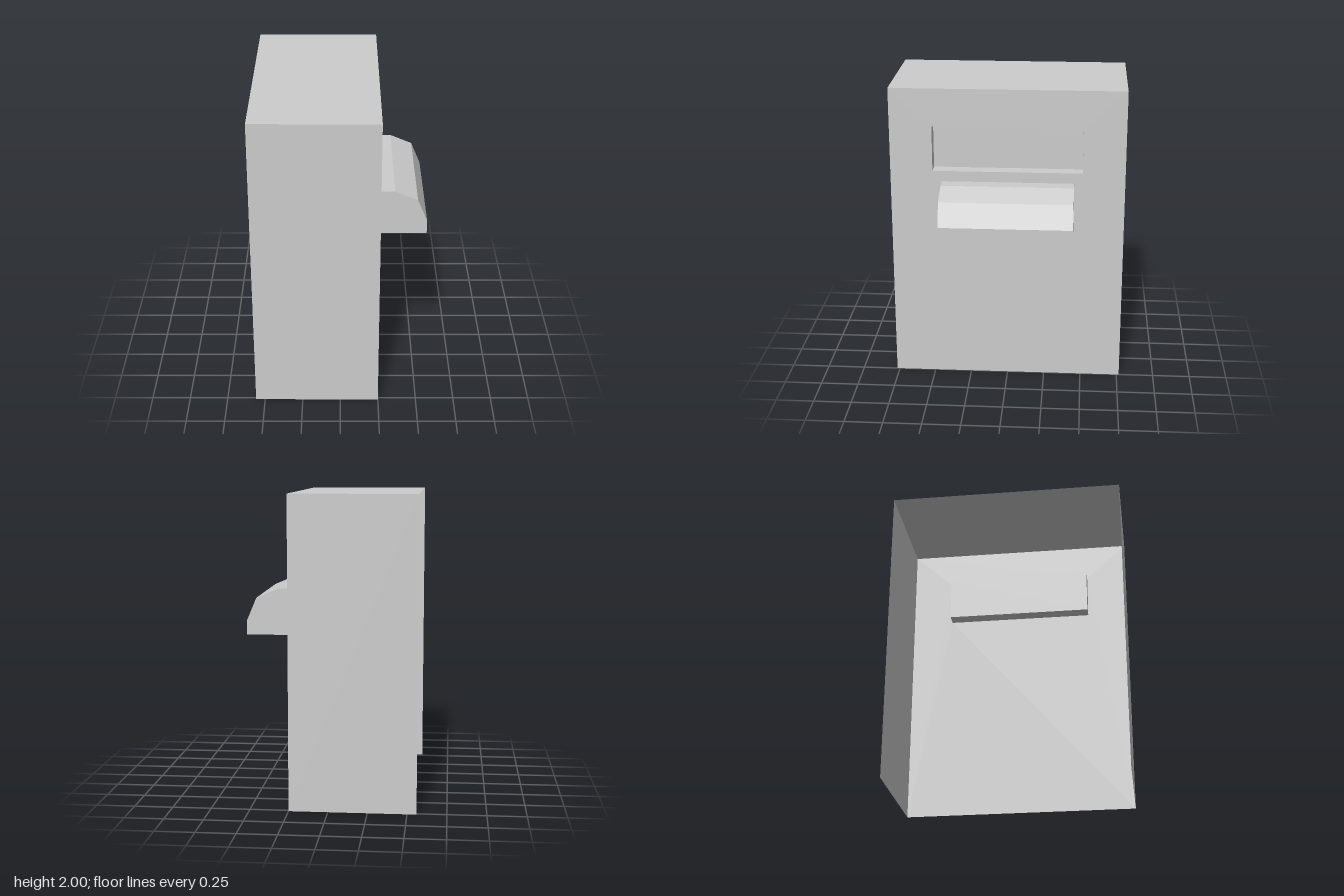
import * as THREE from 'three';

export function createModel() {
  const model = new THREE.Group();
  const grey = new THREE.MeshStandardMaterial({ color: 0xcccccc, side: THREE.DoubleSide });
  grey.name = 'grey';

  const BACK = -0.56, FRONT = 0.25, HEIGHT = 2, HALF = 0.767;
  const DEPTH = FRONT - BACK, MID = (FRONT + BACK) / 2;

  function add(name, geometry, parent = model) {
    const mesh = new THREE.Mesh(geometry, grey);
    mesh.name = name;
    parent.add(mesh);
    return mesh;
  }

  // Rectangular sheet, turned and then placed
  function sheet(name, w, h, [rx, ry], [x, y, z], parent) {
    const mesh = add(name, new THREE.PlaneGeometry(w, h), parent);
    mesh.rotation.set(rx, ry, 0);
    mesh.position.set(x, y, z);
    return mesh;
  }

  // Cabinet shell, open underneath and on the -x side
  sheet('top', DEPTH, HALF * 2, [-Math.PI / 2, 0], [MID, HEIGHT, 0]);
  sheet('leftPanel', DEPTH, HEIGHT, [0, 0], [MID, HEIGHT / 2, HALF]);
  sheet('rightPanel', DEPTH, HEIGHT, [0, Math.PI], [MID, HEIGHT / 2, -HALF]);

  // Face panel with the slot opening
  const slotHalf = 0.49, slotLow = 1.45, slotHigh = 1.75, slotDepth = 0.09;
  const rect = (C, x0, y0, x1, y1) => new C([[x0, y0], [x1, y0], [x1, y1], [x0, y1]]
    .map(([x, y]) => new THREE.Vector2(x, y)));
  const face = rect(THREE.Shape, -HALF, 0, HALF, HEIGHT);
  face.holes.push(rect(THREE.Path, -slotHalf, slotLow, slotHalf, slotHigh));
  const facePanel = add('facePanel', new THREE.ShapeGeometry(face));
  facePanel.rotation.y = Math.PI / 2;
  facePanel.position.x = FRONT;

  // Shallow recess behind the opening
  const recess = new THREE.Group();
  recess.name = 'recess';
  model.add(recess);
  const rx = FRONT - slotDepth / 2, ry = (slotLow + slotHigh) / 2, rh = slotHigh - slotLow;
  sheet('recessBack', slotHalf * 2, rh, [0, Math.PI / 2], [FRONT - slotDepth, ry, 0], recess);
  sheet('recessSill', slotDepth, slotHalf * 2, [-Math.PI / 2, 0], [rx, slotLow, 0], recess);
  sheet('recessHead', slotDepth, slotHalf * 2, [Math.PI / 2, 0], [rx, slotHigh, 0], recess);
  sheet('recessLeftJamb', slotDepth, rh, [0, Math.PI], [rx, ry, slotHalf], recess);
  sheet('recessRightJamb', slotDepth, rh, [0, 0], [rx, ry, -slotHalf], recess);

  // Faceted hood, open underneath and towards the panel
  const hood = new THREE.Group();
  hood.name = 'hood';
  model.add(hood);
  const z0 = -0.436, z1 = 0.427;
  const profile = [[0.256, 1.08], [0.56, 1.08], [0.56, 1.17], [0.497, 1.32], [0.35, 1.382], [0.256, 1.382]]
    .map(([x, y]) => new THREE.Vector2(x, y));
  const end = new THREE.ShapeGeometry(new THREE.Shape(profile));
  add('hoodLeftEnd', end).position.z = z1;
  const rightEnd = end.clone().rotateY(Math.PI).scale(-1, 1, 1);
  // Restore outward winding after the mirror
  rightEnd.index.array.reverse();
  add('hoodRightEnd', rightEnd, hood).position.z = z0;
  hood.add(model.getObjectByName('hoodLeftEnd'));
  for (let i = 1; i < profile.length - 1; i++) {
    const a = profile[i], b = profile[i + 1];
    const strip = new THREE.BufferGeometry();
    strip.setAttribute('position', new THREE.Float32BufferAttribute([
      a.x, a.y, z1, a.x, a.y, z0, b.x, b.y, z0, b.x, b.y, z1], 3));
    strip.setIndex([0, 1, 2, 0, 2, 3]);
    strip.computeVertexNormals();
    add('hoodFacet' + i, strip, hood);
  }
  return model;
}
